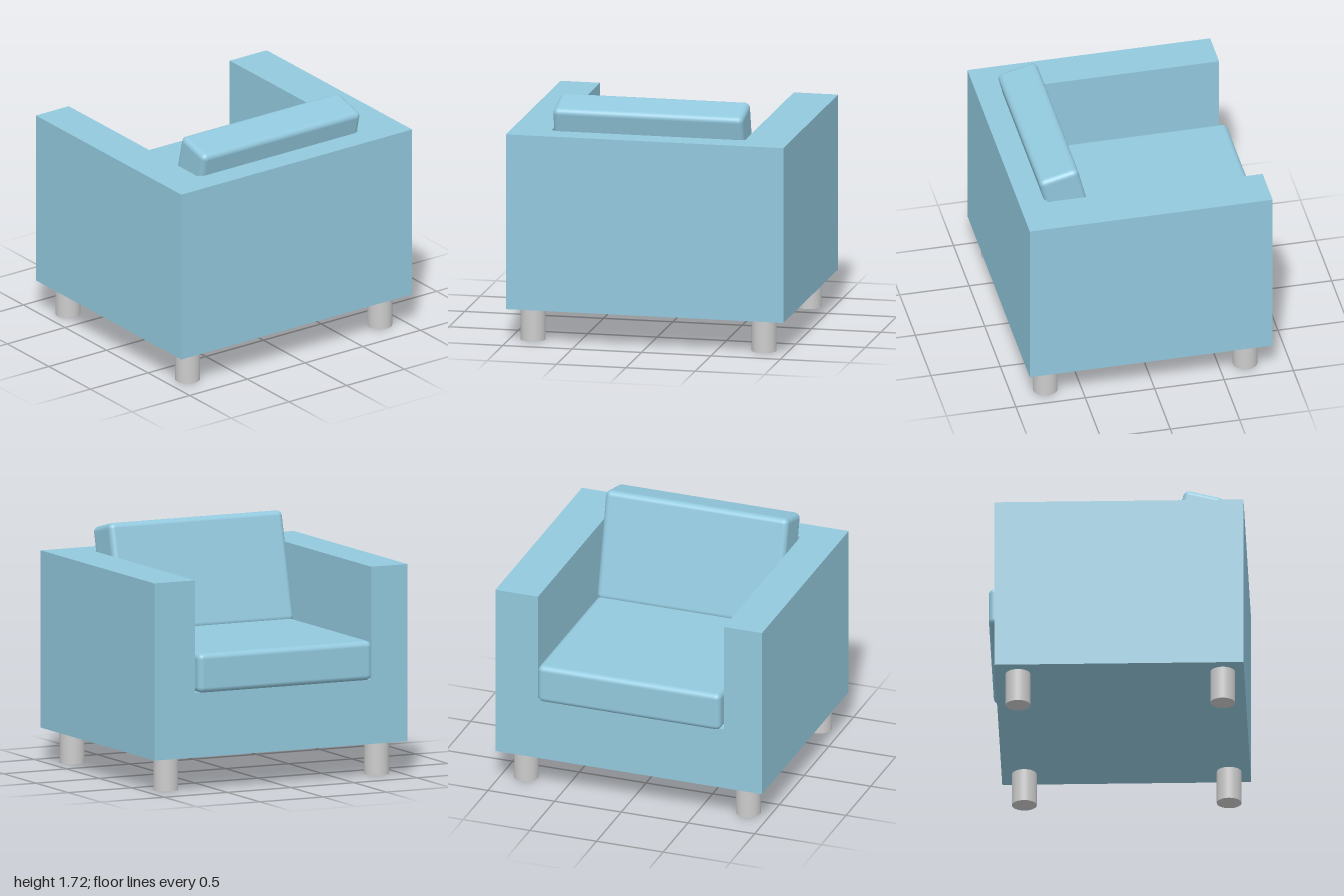
import * as THREE from 'three';
import { RoundedBoxGeometry } from 'three/addons/geometries/RoundedBoxGeometry.js';

export function createModel() {
  const model = new THREE.Group();
  model.name = 'armchair';
  const fabric = new THREE.MeshStandardMaterial({ color: 0x92c8dd });
  const metal = new THREE.MeshStandardMaterial({ color: 0xcccccc });

  const add = (name, geometry, material, x, y, z, parent = model) => {
    const mesh = new THREE.Mesh(geometry, material);
    mesh.name = name;
    mesh.position.set(x, y, z);
    parent.add(mesh);
    return mesh;
  };

  const bottom = 0.24, top = 1.5, seatBase = 0.7;
  const front = -0.85, wall = 0.7, back = 0.9;
  const innerRight = -0.715, innerLeft = 0.68;

  // Frame: U-shaped arms and seat base, closed by the back wall
  const frame = new THREE.Group();
  frame.name = 'frame';
  model.add(frame);
  const profile = new THREE.Shape([
    [-1, bottom], [1, bottom], [1, top], [innerLeft, top],
    [innerLeft, seatBase], [innerRight, seatBase], [innerRight, top], [-1, top],
  ].map(([x, y]) => new THREE.Vector2(x, y)));
  const armsGeometry = new THREE.ExtrudeGeometry(profile, { depth: wall - front, bevelEnabled: false });
  add('armsAndBase', armsGeometry, fabric, 0, 0, front, frame);
  add('backWall', new THREE.BoxGeometry(2, top - bottom, back - wall), fabric,
    0, (top + bottom) / 2, (back + wall) / 2, frame);

  // Seat cushion, slightly overhanging the front
  add('seatCushion', new RoundedBoxGeometry(1.37, 0.28, 1.59, 5, 0.04), fabric, -0.015, 0.84, -0.105);

  // Back cushion leaning against the back wall
  const backCushion = add('backCushion', new RoundedBoxGeometry(1.37, 0.79, 0.29, 5, 0.04), fabric,
    -0.015, 1.312, 0.522);
  backCushion.rotation.x = 0.245;

  // Legs
  const legGeometry = new THREE.CylinderGeometry(0.0875, 0.0875, bottom, 32);
  for (const x of [-0.838, 0.828]) {
    for (const z of [-0.69, 0.75]) {
      add((z < 0 ? 'front' : 'back') + 'Leg', legGeometry, metal, x, bottom / 2, z);
    }
  }
  return model;
}
